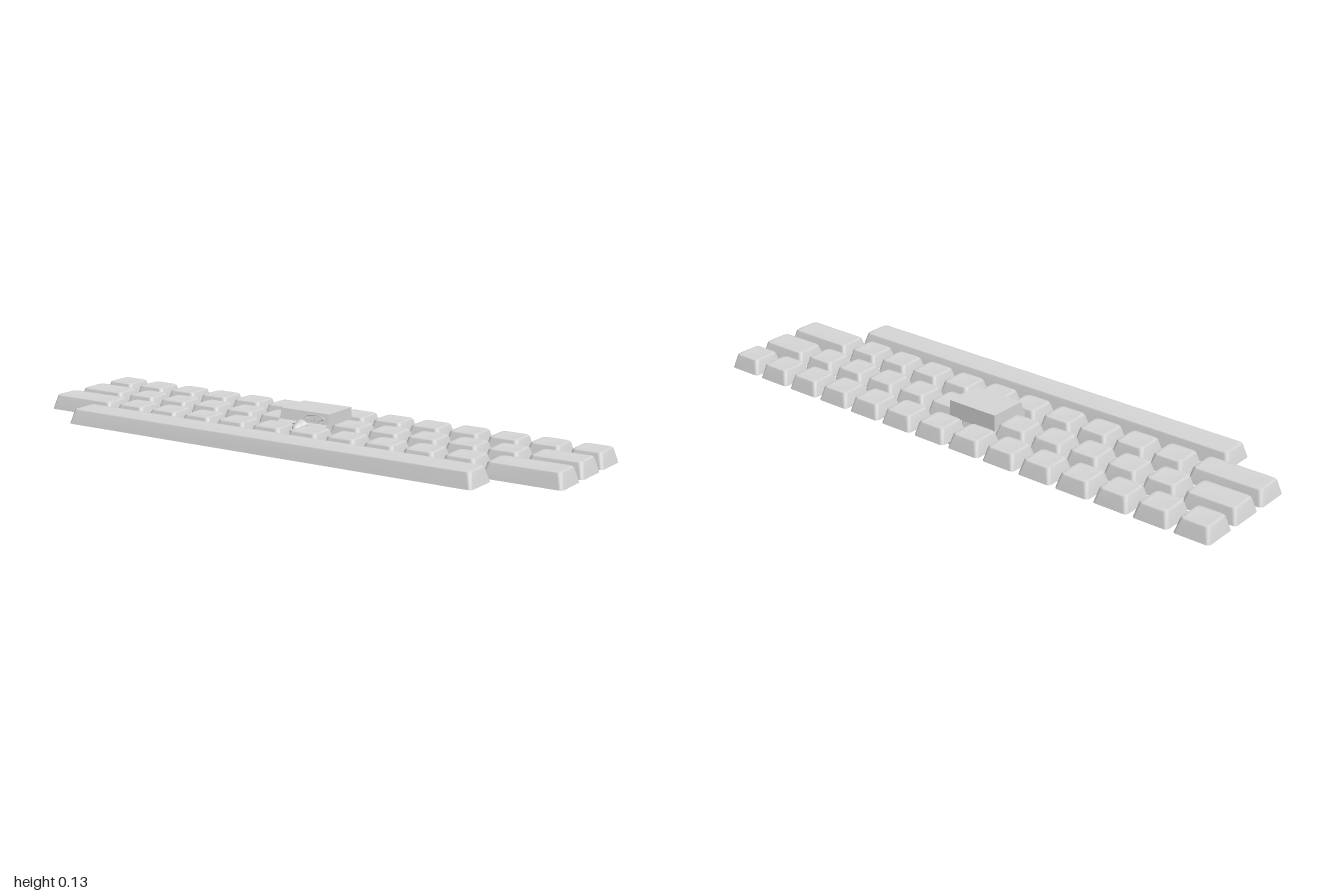
import * as THREE from 'three';

const UNIT = 0.144, GAP = 0.018, DEPTH = 0.126, Y0 = 0.04, Y1 = 0.091;

// Rounded rectangle outline in the xz plane
function outline(w, d, r, y) {
  const pts = [];
  for (let c = 0; c < 4; c++) {
    const sx = c === 0 || c === 3 ? 1 : -1, sz = c < 2 ? 1 : -1;
    for (let i = 0; i <= 3; i++) {
      const a = (c + i / 3) * Math.PI / 2;
      pts.push([sx * (w / 2 - r) + r * Math.cos(a), y, sz * (d / 2 - r) + r * Math.sin(a)]);
    }
  }
  return pts;
}

// Hollow keycap: tapered skirt, soft rim and a slightly dished top
function keyGeometry(width) {
  const rings = [[0, 0.012, Y0], [0.012, 0.014, Y1 - 0.004], [0.016, 0.014, Y1], [0.026, 0.012, Y1 - 0.0005]]
    .map(([inset, r, y]) => outline(width - 2 * inset, DEPTH - 2 * inset, r, y));
  const n = rings[0].length, index = [];
  const pos = [...rings.flat(), [0, Y1 - 0.003, 0]].flat();
  for (let k = 0; k < 3; k++) for (let i = 0; i < n; i++) {
    const a = k * n + i, b = k * n + (i + 1) % n;
    index.push(a, a + n, b, b, a + n, b + n);
  }
  for (let i = 0; i < n; i++) index.push(3 * n + i, 4 * n, 3 * n + (i + 1) % n);
  const g = new THREE.BufferGeometry();
  g.setAttribute('position', new THREE.Float32BufferAttribute(pos, 3));
  g.setIndex(index);
  g.computeVertexNormals();
  return g;
}

// Side profile given as [z, y] points, extruded from x0 to x1
function profile(points, x0, x1) {
  const shape = new THREE.Shape(points.map(p => new THREE.Vector2(...p)));
  const g = new THREE.ExtrudeGeometry(shape, { depth: x1 - x0, bevelEnabled: false });
  return g.rotateY(-Math.PI / 2).translate(x1, 0, 0);
}

export function createModel() {
  const model = new THREE.Group();
  const grey = new THREE.MeshStandardMaterial({ color: 0xd6d6d6, side: THREE.DoubleSide });
  grey.name = 'light grey';
  const black = new THREE.MeshStandardMaterial({ color: 0x262626, side: THREE.DoubleSide });
  black.name = 'black';
  const add = (name, geometry, material, parent = model) => {
    const m = new THREE.Mesh(geometry, material);
    m.name = name;
    parent.add(m);
    return m;
  };

  // Key rows: z centre, left edge in x, key widths in units
  const ones = n => Array(n).fill(1);
  const rows = [
    ['backKeyRow', -0.216, -1.009, ones(14)],
    ['middleKeyRow', -0.072, -1.009, [1.5, ...ones(11), 1.5]],
    ['frontKeyRow', 0.073, -1.009, [2, ...ones(10), 2]],
    ['spaceBarRow', 0.217, -0.8, [11]],
  ];
  const cache = {};
  for (const [name, z, left, widths] of rows) {
    const row = new THREE.Group();
    row.name = name;
    model.add(row);
    let x = left;
    for (const w of widths) {
      cache[w] ??= keyGeometry(w * UNIT - GAP);
      const key = add(w === 11 ? 'spaceBar' : 'key', cache[w], grey, row);
      key.position.set(x + w * UNIT / 2, 0, z);
      x += w * UNIT;
    }
  }

  // Housing over the centre key, with a sloping front
  const housing = new THREE.Group();
  housing.name = 'housing';
  model.add(housing);
  add('housingBody', profile([[-0.143, 0.07], [0.012, 0.07], [0.016, 0.088], [0.004, 0.094],
    [-0.006, 0.129], [-0.143, 0.129]], -0.097, 0.093), grey, housing);

  // Oval loop on the front of the housing
  const loop = add('frontLoop', new THREE.TorusGeometry(1, 0.12, 8, 28), grey, housing);
  loop.scale.set(0.034, 0.009, 0.03);
  loop.rotation.x = -0.28;
  loop.position.set(0.04, 0.112, 0);

  // Funnel and pin reaching forward between the keys
  const funnel = [[0, 0.072], [0.005, 0.072], [0.006, 0.05], [0.017, 0.045], [0.02, 0.03], [0.028, 0.01]];
  const nozzle = add('frontNozzle', new THREE.LatheGeometry(
    funnel.map(p => new THREE.Vector2(...p)).reverse(), 16).rotateX(Math.PI / 2), grey, housing);
  nozzle.position.set(-0.006, 0.075, 0);

  // Dark bracket below the keys
  add('bracket', profile([[-0.008, 0.058], [-0.019, 0.026], [-0.055, 0.03], [-0.042, 0.038],
    [-0.028, 0.058]], -0.055, 0.05), black);

  // Wedge-shaped base plate
  add('basePlate', profile([[-0.007, 0], [-0.195, 0], [-0.195, 0.022], [-0.007, 0.011]], -0.085, 0.075), grey);
  return model;
}
